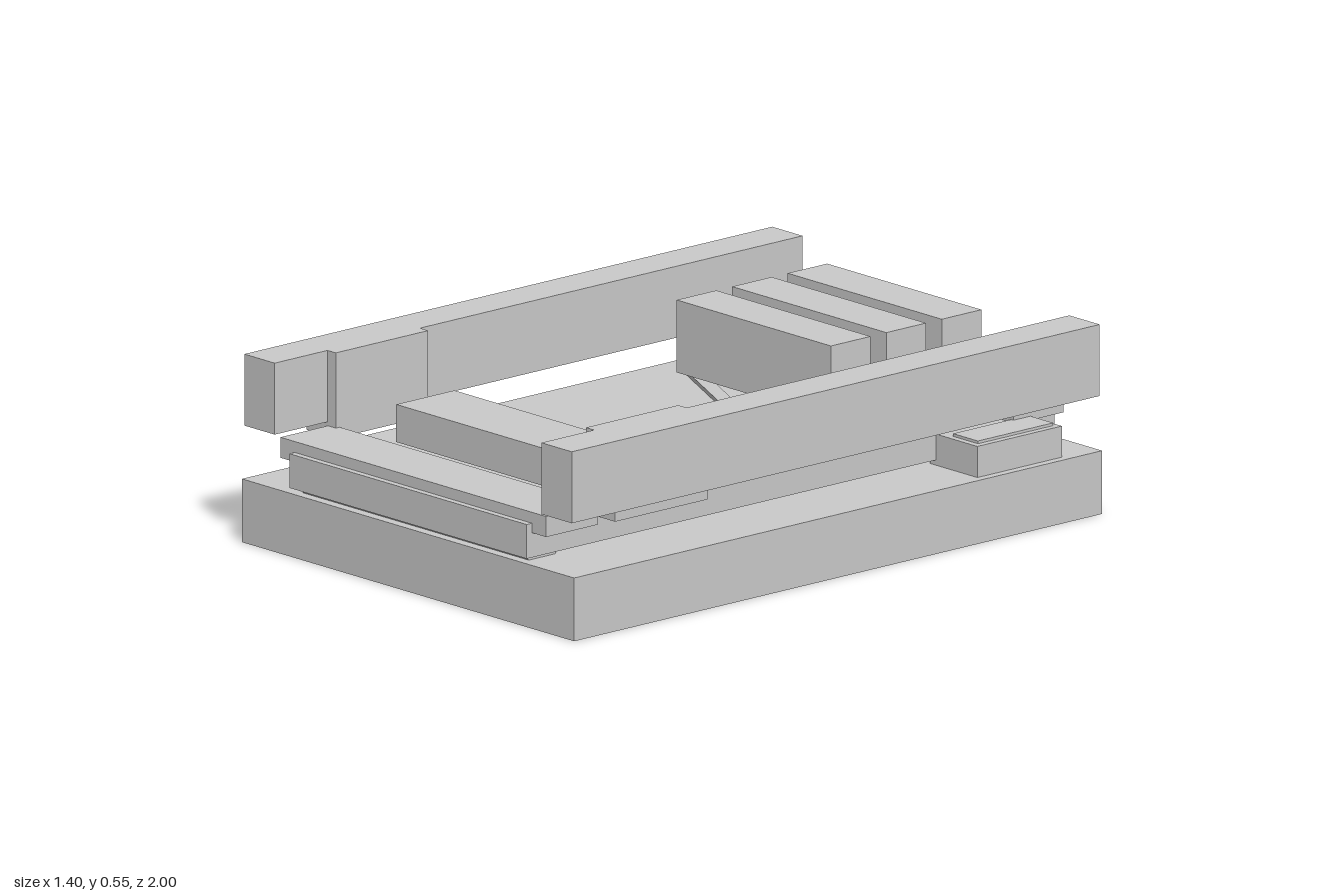
import * as THREE from 'three';

export function createModel() {
  const model = new THREE.Group();
  const material = new THREE.MeshStandardMaterial({ color: 0xcccccc, flatShading: true });

  const add = (name, geometry, x, y, z) => {
    const mesh = new THREE.Mesh(geometry, material);
    mesh.name = name;
    mesh.position.set(x, y, z);
    model.add(mesh);
    return mesh;
  };
  // Box given by its limits on each axis
  const box = (name, x0, x1, y0, y1, z0, z1) =>
    add(name, new THREE.BoxGeometry(x1 - x0, y1 - y0, z1 - z0),
      (x0 + x1) / 2, (y0 + y1) / 2, (z0 + z1) / 2);

  // Base slab and the raised bed
  box('base', -0.7, 0.7, 0, 0.185, -1, 1);
  box('bed', -0.5, 0.5, 0.2, 0.3, -1, 1);

  // Rollers sunk between base and bed, cross plates at both ends
  for (const s of [-1, 1]) {
    const end = s > 0 ? 'front' : 'back';
    const roller = add(end + 'Roller', new THREE.CylinderGeometry(0.067, 0.067, 0.95, 24), 0, 0.229, s * 0.92);
    roller.rotation.z = Math.PI / 2;
  }
  box('frontCrossPlate', -0.56, 0.56, 0.272, 0.332, 0.785, 0.98);
  box('backCrossPlate', -0.56, 0.56, 0.272, 0.332, -0.98, -0.79);

  // Side rails with their inner guide blocks
  for (const s of [-1, 1]) {
    const side = s > 0 ? 'left' : 'right';
    const rail = box(side + 'Rail', 0.562, 0.69, 0.343, 0.552, -1, 1);
    const guide = box(side + 'GuideBlock', 0.527, 0.65, 0.302, 0.552, 0.45, 0.8);
    rail.position.x *= s;
    guide.position.x *= s;
  }

  // Three tall bars at the back, one low bar at the front
  for (const z of [-0.805, -0.595, -0.385]) {
    box('backBar', -0.325, 0.325, 0.33, 0.542, z - 0.075, z + 0.075);
  }
  box('frontBar', -0.35, 0.35, 0.315, 0.425, 0.51, 0.73);

  // Flat chevrons on the bed, each from two angled strips
  for (const z of [0.385, -0.315]) {
    for (const s of [-1, 1]) {
      const strip = add('chevronStrip', new THREE.BoxGeometry(0.388, 0.015, 0.044), s * 0.174, 0.304, z);
      strip.rotation.y = s * 0.453;
    }
  }

  // Side box with a thin lid plate
  box('sideBox', 0.475, 0.675, 0.185, 0.276, -0.87, -0.55);
  box('sideBoxLid', 0.55, 0.655, 0.276, 0.284, -0.855, -0.57);

  return model;
}
